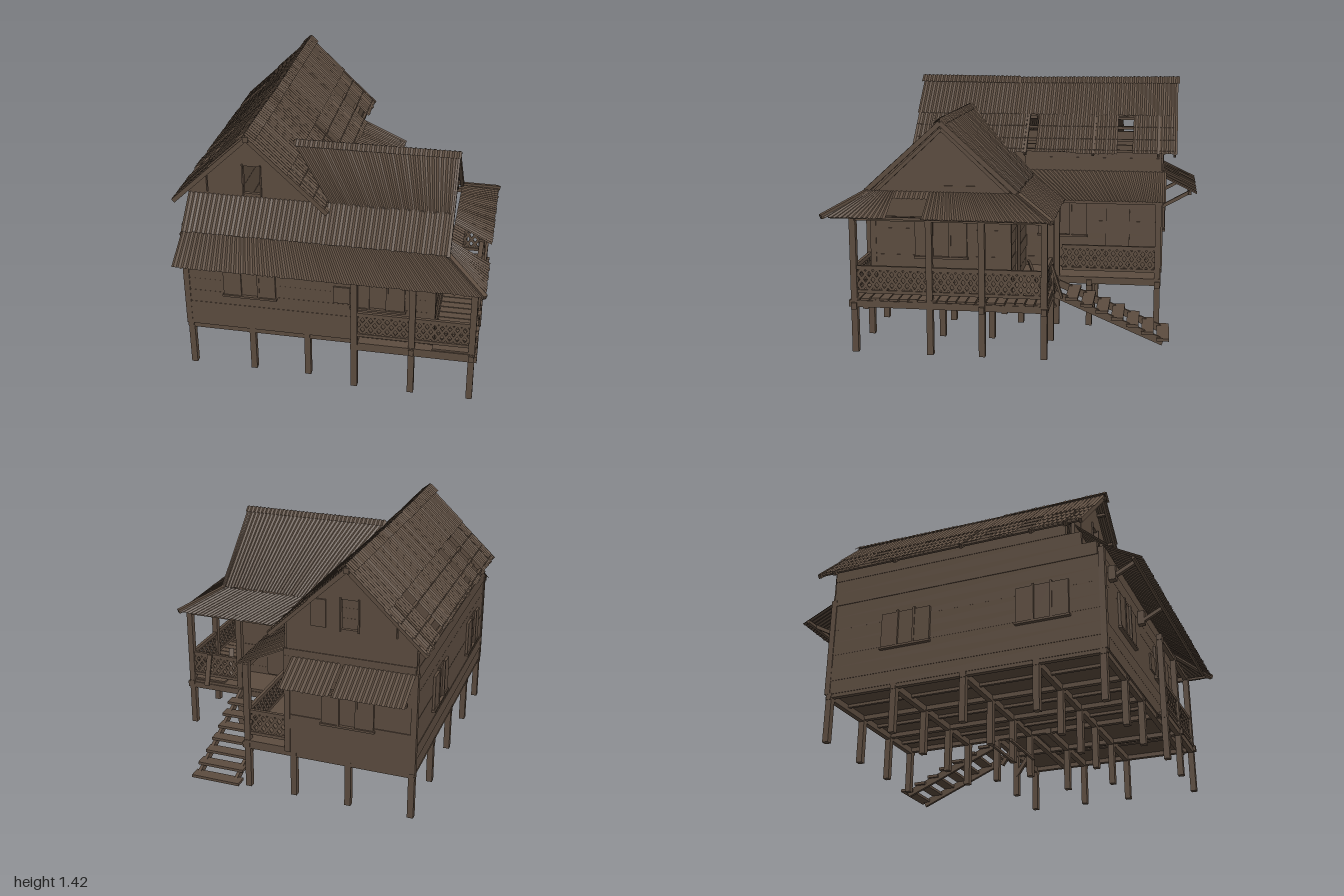
import * as THREE from 'three';

const wood = new THREE.MeshStandardMaterial({ color: 0x5c4c3f, flatShading: true, side: THREE.DoubleSide });
wood.name = 'weathered brown wood';

let seed = 7;
const rnd = () => ((seed = (seed * 16807) % 2147483647) / 2147483647);
const jit = (s) => (rnd() - 0.5) * 2 * s;
const V = (x, y, z) => new THREE.Vector3(x, y, z);

export function createModel() {
  const root = new THREE.Group();
  root.name = 'stiltHouse';

  const add = (name, geo) => {
    const m = new THREE.Mesh(geo, wood);
    m.name = name;
    root.add(m);
    return m;
  };
  // Box given by its limits
  const box = (name, x0, x1, y0, y1, z0, z1) => {
    const m = add(name, new THREE.BoxGeometry(x1 - x0, y1 - y0, z1 - z0));
    m.position.set((x0 + x1) / 2, (y0 + y1) / 2, (z0 + z1) / 2);
    return m;
  };
  // Square bar between two points
  const beam = (name, a, b, w = 0.02, h = w) => {
    const m = add(name, new THREE.BoxGeometry(w, h, a.distanceTo(b)));
    m.position.copy(a).lerp(b, 0.5);
    m.lookAt(b);
    return m;
  };
  // Corrugated sheet: a-b is the upper edge, d-c the ragged lower edge
  const sheet = (name, a, b, c, d) => {
    const n = Math.max(2, 2 * Math.round(Math.max(a.distanceTo(b), d.distanceTo(c)) / 0.026));
    const up = V(0, 0, 0).crossVectors(b.clone().sub(a), d.clone().sub(a)).normalize();
    if (up.y < 0) up.negate();
    const pos = [], idx = [];
    for (let i = 0; i <= n; i++) {
      const t = i / n, off = (i % 2 ? 0.004 : -0.002) + jit(0.001);
      const top = a.clone().lerp(b, t), low = d.clone().lerp(c, t);
      low.lerp(top, rnd() * 0.03);
      for (const p of [top, low]) {
        p.addScaledVector(up, off);
        pos.push(p.x, p.y, p.z);
      }
      if (i < n) idx.push(2 * i, 2 * i + 1, 2 * i + 2, 2 * i + 2, 2 * i + 1, 2 * i + 3);
    }
    const g = new THREE.BufferGeometry();
    g.setAttribute('position', new THREE.Float32BufferAttribute(pos, 3));
    g.setIndex(idx);
    g.computeVertexNormals();
    add(name, g);
  };
  // Plank wall, along x (at z = p) or along z (at x = p)
  const wall = (name, axis, p, s0, s1, y0, y1, end = () => s1) => {
    const rows = Math.round((y1 - y0) / 0.073), h = (y1 - y0) / rows;
    for (let i = 0; i < rows; i++) {
      const y = y0 + i * h, e = Math.min(s1, end(y + h)) + jit(0.004), t = 0.012 + jit(0.003);
      if (axis === 'x') box(name, s0 + jit(0.004), e, y, y + h, p - t, p + t);
      else box(name, p - t, p + t, y, y + h, s0 + jit(0.004), e);
    }
  };
  // Window panel with frame and two shutters; out is the outward sign
  const windowSet = (axis, p, out, c, w = 0.1) => {
    const part = (name, s0, s1, y0, y1, d0, d1) => {
      const n = Math.min(p + out * d0, p + out * d1), f = Math.max(p + out * d0, p + out * d1);
      if (axis === 'x') box(name, s0, s1, y0, y1, n, f);
      else box(name, n, f, y0, y1, s0, s1);
    };
    part('windowPanel', c - w / 2, c + w / 2, 0.49, 0.69, 0.01, 0.018);
    for (const s of [-1, 1]) {
      const m = c + s * w;
      part('shutter', m - w / 2 + 0.006, m + w / 2 - 0.006, 0.49, 0.685, 0.012, 0.026);
      part('windowFrame', c + s * w / 2 - 0.006, c + s * w / 2 + 0.006, 0.485, 0.695, 0.012, 0.03);
    }
    part('windowSill', c - w * 1.5, c + w * 1.5, 0.476, 0.488, 0.01, 0.032);
  };

  // Stilts, tall veranda posts
  const post = (x, z, top = 0.28, name = 'stilt') => box(name, x - 0.017, x + 0.017, 0, top, z - 0.017, z + 0.017);
  const cols = [-0.77, -0.42, -0.11, 0.16], rows = [0.77, 0.42, 0.02, -0.38, -0.77];
  for (const x of cols) for (const z of rows) if (!(x === 0.16 && (z === -0.77 || z === 0.77))) post(x, z);
  for (const z of [0.42, 0.14]) post(0.47, z);
  for (const x of [0.16, 0.47, 0.79]) post(x, 0.83, 0.76, 'verandaPost');
  for (const z of [0.42, 0.14, -0.19]) post(0.79, z, 0.76, 'verandaPost');
  for (const [x, z] of [[0.47, -0.19], [0.16, -0.19], [0.16, -0.77]]) post(x, z, 0.76, 'verandaPost');
  beam('veranaFrontPlate', V(0.14, 0.735, 0.83), V(0.81, 0.735, 0.83), 0.025);
  beam('verandaSidePlate', V(0.79, 0.735, 0.84), V(0.79, 0.735, -0.2), 0.025);
  beam('verandaBackPlate', V(0.15, 0.735, -0.19), V(0.8, 0.735, -0.19), 0.025);
  beam('sideVerandaPlate', V(0.16, 0.735, -0.79), V(0.16, 0.735, -0.18), 0.025);

  // Floor slabs, planks and the beams below
  box('mainFloor', -0.78, 0.18, 0.275, 0.292, -0.79, 0.79);
  box('crossFloor', 0.18, 0.8, 0.275, 0.292, -0.2, 0.85);
  for (let z = -0.19; z < 0.85; z += 0.052) box('deckPlank', 0.58, 0.81 + jit(0.012), 0.29, 0.302, z, z + 0.046);
  for (const z of rows) beam('floorJoist', V(-0.79, 0.258, z), V(z > 0 ? 0.8 : 0.19, 0.258, z), 0.03, 0.036);
  for (const z of [0.83, 0.14, -0.19]) beam('floorJoist', V(0.14, 0.258, z), V(0.82, 0.258, z), 0.03, 0.036);
  for (const x of cols) beam('floorBeam', V(x, 0.268, -0.79), V(x, 0.268, 0.79), 0.028, 0.036);
  for (const x of [0.47, 0.79]) beam('floorBeam', V(x, 0.268, -0.21), V(x, 0.268, 0.86), 0.028, 0.036);
  for (const x of [-0.6, -0.27, 0.03]) beam('floorBeam', V(x, 0.268, -0.78), V(x, 0.268, 0.78), 0.018);
  for (const z of [0.02, 0.14]) beam('groundRail', V(-0.43, 0.007, z), V(-0.1, 0.007, z), 0.014);

  // Plank walls
  const underSkirt = (y) => 0.36 + (1.24 - y) / 0.905;
  wall('frontWall', 'x', 0.78, -0.78, 0.57, 0.27, 0.86);
  wall('leftLongWall', 'z', -0.775, -0.78, 0.785, 0.27, 1.03, underSkirt);
  wall('backWall', 'x', -0.78, -0.78, -0.07, 0.27, 0.88);
  wall('sideWall', 'z', -0.08, -0.78, 0.03, 0.27, 1.03);
  wall('crossBackWall', 'x', 0.03, -0.08, 0.57, 0.27, 0.9);
  wall('crossEndWall', 'z', 0.57, 0.02, 0.78, 0.27, 0.86);
  for (const [x, z] of [[-0.775, 0.78], [0.57, 0.78], [-0.775, -0.78], [-0.08, -0.78], [0.57, 0.03]])
    box('cornerPost', x - 0.016, x + 0.016, 0.27, 0.84, z - 0.016, z + 0.016);

  // Windows and doors
  windowSet('x', 0.78, 1, -0.42);
  windowSet('x', 0.78, 1, 0.28);
  windowSet('x', -0.78, -1, -0.42);
  windowSet('z', -0.775, -1, -0.32);
  windowSet('z', -0.775, -1, 0.46);
  windowSet('z', 0.57, 1, 0.4);
  windowSet('z', -0.08, 1, -0.2);
  box('loosePatch', 0.04, 0.13, 0.5, 0.6, 0.79, 0.8);
  box('sideDoor', -0.07, -0.06, 0.3, 0.69, -0.6, -0.46);
  box('backDoor', 0.25, 0.38, 0.3, 0.69, 0.01, 0.02);
  for (const x of [-0.7, -0.16]) {
    box('eaveBracket', x - 0.017, x + 0.017, 0.68, 0.76, 0.79, 0.83);
    beam('eaveStrut', V(x, 0.69, 0.79), V(x, 0.76, 0.93), 0.02);
    beam('eaveStrut', V(x < -0.5 ? x : -0.13, 0.66, -0.79), V(x < -0.5 ? x : -0.13, 0.75, -0.95), 0.02);
  }

  // Gable walls with see-through openings
  const hole = (x0, x1, y0, y1) => new THREE.Path([[x0, y0], [x1, y0], [x1, y1], [x0, y1]].map((p) => new THREE.Vector2(...p)));
  const gable = (pts) => new THREE.Shape(pts.map((p) => new THREE.Vector2(...p)));
  for (const z of [0.62, -0.79]) {
    const s = gable([[-0.78, 0.86], [-0.08, 0.86], [-0.08, 1.05], [-0.43, 1.38], [-0.78, 1.05]]);
    s.holes.push(hole(-0.47, -0.38, 1.03, 1.19), hole(-0.677, -0.67, 1.02, 1.12));
    add('mainGable', new THREE.ExtrudeGeometry(s, { depth: 0.02, bevelEnabled: false })).position.z = z;
    const f = z > 0 ? z + 0.02 : z - 0.008;
    for (const x of [-0.478, -0.38]) box('gableWindowFrame', x, x + 0.008, 1.02, 1.2, f, f + 0.008);
  }
  box('gableShutter', -0.3, -0.22, 1.03, 1.18, -0.8, -0.79);
  const cg = add('crossGable', new THREE.ExtrudeGeometry(gable([[-0.79, 0.84], [0.02, 0.84], [-0.385, 1.22]]), { depth: 0.02, bevelEnabled: false }));
  cg.rotation.y = Math.PI / 2;
  cg.position.x = 0.59;
  box('gableSlot', 0.61, 0.616, 0.875, 0.885, 0.2, 0.4);

  // Main roof: long upper sheets, patched lower sheets with gaps
  const rx = -0.43, my = (d) => 1.395 - d * 0.94;
  const lower = {
    '-1': [[-0.87, -0.61], [-0.53, -0.28], [-0.28, 0.11], [0.17, 0.32], [0.42, 0.7]],
    '1': [[-0.87, -0.61], [-0.52, -0.28], [-0.28, -0.04], [0.03, 0.7]],
  };
  for (const s of [-1, 1]) {
    const P = (d, z, lift = 0) => V(rx + s * d, my(d) + lift, z);
    for (const [z0, z1] of [[-0.87, -0.62], [-0.62, -0.1], [-0.1, 0.3], [0.3, 0.71]])
      sheet('mainRoofUpper', P(0, z0), P(0, z1), P(0.22, z1), P(0.22, z0));
    for (const [z0, z1] of lower[s]) {
      const e = 0.425 + jit(0.006);
      sheet('mainRoofLower', P(0.2, z0, -0.008), P(0.2, z1, -0.008), P(e, z1, -0.008), P(e, z0, -0.008));
    }
    for (const d of [0.07, 0.2, 0.27, 0.34, 0.4]) beam('purlin', P(d, -0.86, -0.02), P(d, 0.7, -0.02), 0.016);
    for (const z of [-0.855, -0.76, -0.38, 0.02, 0.42, 0.61, 0.695]) beam('rafter', P(0, z, -0.022), P(0.42, z, -0.022), 0.016, 0.024);
    sheet('ridgeCap', V(rx, 1.41, -0.88), V(rx, 1.4, 0.12), V(rx + s * 0.045, 1.365, 0.12), V(rx + s * 0.045, 1.37, -0.88));
    sheet('ridgeCap', V(rx, 1.405, 0.1), V(rx, 1.41, 0.72), V(rx + s * 0.05, 1.37, 0.72), V(rx + s * 0.05, 1.365, 0.1));
  }
  beam('ridgeBeam', V(rx, 1.372, -0.87), V(rx, 1.372, 0.71), 0.03);

  // Cross roof with its skirt running under the main gable
  const cz = 0.385, cy = (d) => 1.24 - d * 0.905;
  const C = (x, d) => V(x, cy(Math.abs(d)), cz + d);
  sheet('crossRoofFront', C(-0.26, 0), C(0.65, 0), C(0.65, 0.26), C(0, 0.26));
  sheet('crossRoofSkirt', C(-0.78, 0.25), C(0.65, 0.25), C(0.645, 0.425), C(-0.78, 0.425));
  sheet('crossRoofBack', C(-0.26, 0), C(0.65, 0), C(0.65, -0.425), C(0, -0.425));
  for (const s of [-1, 1]) {
    beam('vergeBoard', V(0.64, 1.225, cz), V(0.64, 0.845, cz + s * 0.42), 0.02, 0.026);
    beam('gableTrim', V(0.615, 1.19, cz), V(0.615, 0.845, cz + s * 0.37), 0.016, 0.02);
    sheet('crossRidgeCap', V(-0.25, 1.25, cz), V(0.655, 1.25, cz), V(0.655, 1.222, cz + s * 0.035), V(-0.25, 1.222, cz + s * 0.035));
    for (const d of [0.12, 0.25, 0.38]) beam('crossPurlin', V(-0.05, cy(d) - 0.018, cz + s * d), V(0.64, cy(d) - 0.018, cz + s * d), 0.016);
  }

  // Low veranda roofs around the outside
  const hi = 0.855, lo = 0.742;
  sheet('lowRoofFront', V(-0.78, hi, 0.79), V(0.64, hi, 0.79), V(0.85, lo, 0.99), V(-0.78, lo, 0.99));
  const side = (z0, z1, o0 = z0, o1 = z1, mid = 0.85) =>
    sheet('lowRoofSide', V(0.64, hi, z0), V(0.64, hi, z1), V(mid, hi - (mid - 0.64) * 0.54, o1), V(mid, hi - (mid - 0.64) * 0.54, o0));
  side(0.79, 0.64, 0.99, 0.64);
  side(0.64, 0.45, 0.64, 0.45, 0.7);
  side(0.45, -0.03, 0.45, -0.24);
  sheet('lowRoofBack', V(0.0, hi, -0.03), V(0.64, hi, -0.03), V(0.85, lo, -0.24), V(0.2, lo, -0.24));
  sheet('sideVerandaRoof', V(-0.07, 0.875, -0.81), V(-0.07, 0.875, 0.02), V(0.215, lo, -0.22), V(0.215, lo, -0.81));
  for (const [x0, x1] of [[-0.775, -0.395], [-0.38, -0.11]])
    sheet('backAwning', V(x0, 0.84, -0.79), V(x1, 0.84, -0.79), V(x1, lo, -0.995), V(x0, lo, -0.995));
  beam('backAwningBeam', V(-0.78, 0.745, -0.95), V(-0.11, 0.745, -0.95), 0.018);
  beam('frontEaveBeam', V(-0.77, 0.75, 0.94), V(0.8, 0.75, 0.94), 0.016);
  beam('sideEaveBeam', V(0.82, 0.742, 0.95), V(0.82, 0.742, -0.2), 0.014);
  beam('hipRafterFront', V(0.64, 0.85, 0.79), V(0.845, 0.745, 0.985), 0.025);
  beam('hipRafterBack', V(0.64, 0.85, -0.03), V(0.845, 0.745, -0.235), 0.025);

  // Lattice railings between posts
  const railing = (x0, z0, x1, z1) => {
    const a = V(x0, 0, z0), b = V(x1, 0, z1), L = a.distanceTo(b), n = Math.max(2, Math.round(L / 0.042));
    const at = (t, y) => a.clone().lerp(b, t).setY(y);
    for (const [y, w] of [[0.335, 0.018], [0.465, 0.022]]) beam('handrail', at(0, y), at(1, y), 0.018, w);
    for (let i = 0; i < n; i++) {
      for (const [y0, y1] of [[0.34, 0.4], [0.4, 0.46]]) {
        beam('lattice', at(i / n, y0), at((i + 1) / n, y1), 0.008, 0.015);
        beam('lattice', at(i / n, y1), at((i + 1) / n, y0), 0.008, 0.015);
      }
    }
  };
  railing(0.16, 0.83, 0.47, 0.83);
  railing(0.47, 0.83, 0.79, 0.83);
  railing(0.79, 0.83, 0.79, 0.42);
  railing(0.79, 0.42, 0.79, 0.14);
  railing(0.79, 0.14, 0.79, -0.19);
  railing(0.79, -0.19, 0.49, -0.19);
  railing(0.16, -0.77, -0.07, -0.77);
  railing(0.16, -0.77, 0.16, -0.22);

  // Back stairs, braces and leaning planks
  for (let i = 0; i < 7; i++) {
    const z = -0.305 - i * 0.084, y = 0.245 - i * 0.036;
    box('stairTread', 0.205 + jit(0.008), 0.485 + jit(0.008), y - 0.008, y + 0.008, z - 0.034, z + 0.034);
  }
  for (const x of [0.235, 0.46]) beam('stairStringer', V(x, 0.265, -0.21), V(x, 0.012, -0.81), 0.018, 0.04);
  for (const x of [0.235, 0.46]) beam('stairBrace', V(x, 0.25, -0.1), V(x, 0.12, -0.19), 0.022);
  beam('leaningPlank', V(0.55, 0.3, -0.14), V(0.58, 0.48, -0.08), 0.03, 0.012);
  beam('leaningPlank', V(0.66, 0.3, -0.27), V(0.66, 0.48, -0.215), 0.03, 0.012);
  return root;
}
